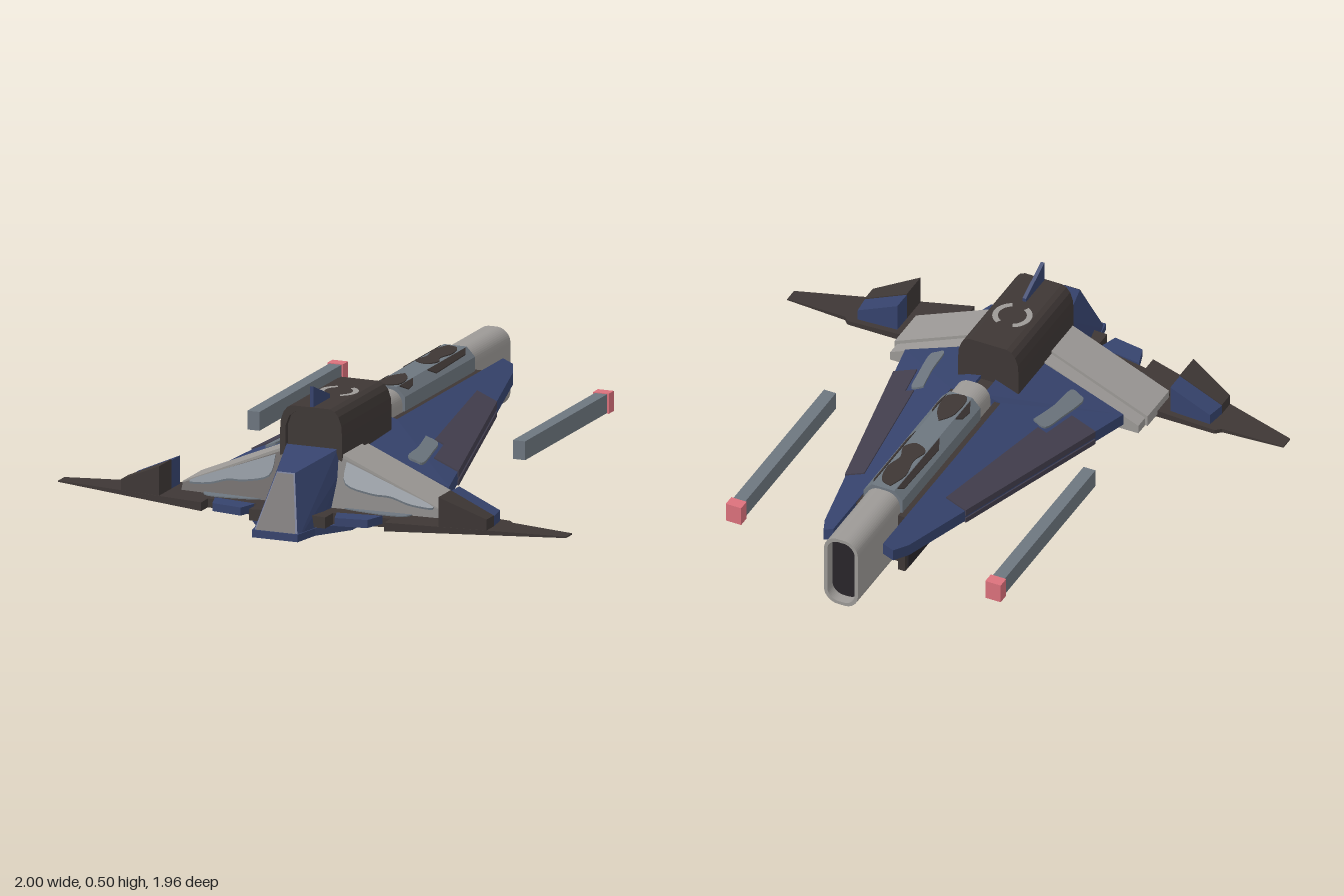
import * as THREE from 'three';
import { ConvexGeometry } from 'three/addons/geometries/ConvexGeometry.js';

const mat = (name, color) => {
  const m = new THREE.MeshStandardMaterial({ color });
  m.name = name;
  return m;
};

export function createModel() {
  const model = new THREE.Group();
  model.name = 'starfighter';
  const dark = mat('dark brown', 0x3e3735);
  const blue = mat('hull blue', 0x36436d);
  const grey = mat('light grey', 0x9c9996);
  const slate = mat('slate grey', 0x6d767f);
  const panel = mat('dusk panel', 0x433f4e);
  const red = mat('signal red', 0xdb717c);
  const black = mat('recess black', 0x28252a);

  const add = (name, geo, material) => {
    const m = new THREE.Mesh(geo, material);
    m.name = name;
    model.add(m);
    return m;
  };
  const box = (name, material, x0, x1, y0, y1, z0, z1) => {
    const m = add(name, new THREE.BoxGeometry(x1 - x0, y1 - y0, z1 - z0), material);
    m.position.set((x0 + x1) / 2, (y0 + y1) / 2, (z0 + z1) / 2);
  };
  const polygon = (pts) => new THREE.Shape(pts.map(([a, b]) => new THREE.Vector2(a, b)));
  const smooth = (pts) => {
    const c = new THREE.SplineCurve([...pts, pts[0]].map(([a, b]) => new THREE.Vector2(a, b)));
    return c.getPoints(pts.length * 4).slice(0, -1).map((p) => [p.x, p.y]);
  };
  const flip = (pts) => pts.map(([a, b]) => [-a, b]);
  const mirrored = (pts) => [...pts, ...flip(pts).reverse()];

  // Plan outline [x, z] whose top and bottom heights follow rules of |x| and z
  const slab = (name, material, pts, top, bottom) => {
    const geo = new THREE.ExtrudeGeometry(polygon(pts.map(([x, z]) => [x, -z])), { depth: 1, bevelEnabled: false });
    geo.rotateX(-Math.PI / 2);
    const p = geo.attributes.position;
    for (let i = 0; i < p.count; i++) {
      const rule = p.getY(i) > 0.5 ? top : bottom;
      p.setY(i, rule(Math.abs(p.getX(i)), p.getZ(i)));
    }
    geo.computeVertexNormals();
    return add(name, geo, material);
  };
  // Front outline [x, y] extruded along z
  const extrude = (name, material, shape, z0, z1) => {
    const geo = new THREE.ExtrudeGeometry(shape, { depth: z1 - z0, bevelEnabled: false, curveSegments: 6 });
    geo.translate(0, 0, z0);
    return add(name, geo, material);
  };
  const slabs = (name, m, pts, top, bottom) => {
    slab(name + 'Left', m, pts, top, bottom);
    slab(name + 'Right', m, flip(pts), top, bottom);
  };
  const extrudes = (name, m, pts, z0, z1) => {
    extrude(name + 'Left', m, polygon(pts), z0, z1);
    extrude(name + 'Right', m, polygon(flip(pts)), z0, z1);
  };

  // Engine barrel: rounded tube with an open tail
  const rounded = (w, y0, y1, r) => {
    const s = new THREE.Shape();
    s.moveTo(-w + r, y0).lineTo(w - r, y0);
    s.absarc(w - r, y0 + r, r, -Math.PI / 2, 0);
    s.absarc(w - r, y1 - r, r, 0, Math.PI / 2);
    s.absarc(-w + r, y1 - r, r, Math.PI / 2, Math.PI);
    s.absarc(-w + r, y0 + r, r, Math.PI, Math.PI * 1.5);
    return s;
  };
  extrude('engineBarrel', grey, rounded(0.068, 0.04, 0.33, 0.055), -0.93, 0.09);
  const tail = rounded(0.068, 0.04, 0.33, 0.055);
  tail.holes.push(rounded(0.055, 0.053, 0.317, 0.045));
  extrude('engineTail', grey, tail, -0.98, -0.93);
  extrude('engineOpening', black, rounded(0.055, 0.053, 0.317, 0.045), -0.938, -0.925);

  // Camouflaged sleeve over the barrel
  extrude('barrelSleeve', slate, polygon(mirrored([[0.078, 0.2], [0.078, 0.305], [0.045, 0.34]])), -0.64, -0.01);
  const sleeveTop = (x) => (x > 0.045 ? 0.34 - (x - 0.045) * 1.06 : 0.34) + 0.004;
  const sleeveUnder = (x) => sleeveTop(x) - 0.007;
  slab('sleevePatchRear', dark, smooth([[-0.02, -0.62], [0.025, -0.6], [0.042, -0.52], [0.026, -0.45], [0.043, -0.39],
    [0.01, -0.35], [-0.042, -0.38], [-0.028, -0.45], [-0.042, -0.54]]), sleeveTop, sleeveUnder);
  slab('sleevePatchFront', dark, smooth([[0, -0.19], [0.035, -0.13], [0.04, -0.04], [-0.03, -0.02], [-0.035, -0.13]]),
    sleeveTop, sleeveUnder);
  for (const [a, b] of [[-0.62, -0.28], [-0.15, -0.03]]) {
    slabs('sleeveEdgePatch', dark, [[0.048, a], [0.062, a + 0.03], [0.066, b - 0.04], [0.048, b]], sleeveTop, sleeveUnder);
  }

  // Central hull, keel strips, rear frame and neck
  box('hull', blue, -0.104, 0.104, 0.06, 0.24, -0.635, 0.42);
  box('keel', dark, -0.06, 0.06, 0.03, 0.1, -0.64, 0.42);
  for (const s of [-1, 1]) {
    box('keelStrip', black, s * 0.084 - 0.022, s * 0.084 + 0.022, 0.02, 0.085, -0.645, 0.42);
    box('rearFrame', dark, s * 0.085 - 0.014, s * 0.085 + 0.014, 0.01, 0.252, -0.66, -0.62);
    box('sleeveRail', dark, s * 0.088 - 0.014, s * 0.088 + 0.014, 0.2, 0.252, -0.64, 0.11);
  }
  box('neck', dark, -0.03, 0.03, 0.1, 0.255, 0.1, 0.25);

  // Thin sloping delta wings with panels on both sides and camouflage
  const wingTop = (x) => Math.min(0.27, 0.297 - 0.425 * x);
  const above = (d) => (x) => wingTop(x) + d;
  slabs('deltaWing', blue, [[0.1, -0.84], [0.14, -0.84], [0.17, -0.77], [0.44, 0.42], [0.03, 0.42], [0.03, 0.11],
    [0.1, 0.11]], wingTop, above(-0.045));
  const panelOutline = [[0.165, -0.46], [0.244, -0.46], [0.408, 0.26], [0.312, 0.26], [0.285, 0.11], [0.25, 0.11]];
  slabs('wingPanel', panel, panelOutline, above(0.006), above(-0.02));
  slabs('wingUnderPanel', panel, panelOutline, above(-0.03), above(-0.05));
  slabs('wingPatch', slate, smooth([[0.222, 0.13], [0.27, 0.13], [0.29, 0.22], [0.31, 0.35], [0.29, 0.37], [0.255, 0.365],
    [0.245, 0.25]]), above(0.008), above(-0.001));

  // Light shoulder bands with a dark camouflaged slope in front
  extrudes('shoulderBand', grey, [[0.1, 0.262], [0.51, 0.088], [0.51, 0.045], [0.1, 0.045]], 0.475, 0.648);
  extrudes('shoulderStep', grey, [[0.1, 0.25], [0.5, 0.078], [0.5, 0.045], [0.1, 0.045]], 0.42, 0.475);
  const slope = (d) => (x, z) => 0.25 - 0.407 * (x - 0.1) - 1.84 * (z - 0.648) + d;
  slabs('shoulderSlope', dark, [[0.1, 0.646], [0.508, 0.646], [0.508, 0.664], [0.1, 0.755]], slope(0), () => 0.045);
  slabs('shoulderPatch', slate, smooth([[0.14, 0.654], [0.3, 0.652], [0.48, 0.651], [0.4, 0.667], [0.32, 0.672],
    [0.25, 0.684], [0.15, 0.69]]), slope(0.007), slope(-0.003));

  // Forward wings
  const foreTop = (x) => 0.081 - 0.043 * x;
  slabs('foreWing', dark, [[0, 0.5], [0.51, 0.555], [0.74, 0.555], [0.76, 0.575], [1, 0.59], [1, 0.645], [0.36, 0.82],
    [0.36, 0.76], [0.15, 0.8], [0.15, 0.87], [0, 0.87]], foreTop, () => 0.033);
  const forePatch = smooth([[0.14, 0.66], [0.27, 0.65], [0.4, 0.66], [0.39, 0.715], [0.3, 0.735], [0.15, 0.725]]);
  slabs('foreWingPatch', slate, forePatch, (x) => foreTop(x) + 0.004, (x) => foreTop(x) - 0.004);
  slabs('foreWingUnderPatch', slate, smooth([[0.25, 0.6], [0.4, 0.62], [0.45, 0.68], [0.36, 0.72], [0.24, 0.69]]),
    () => 0.036, () => 0.03);

  // Wedge fins and small canards
  const finTop = (x) => 0.167 - 0.45 * (x - 0.55);
  slabs('finFront', dark, [[0.55, 0.655], [0.72, 0.655], [0.72, 0.72], [0.55, 0.766]], finTop, () => 0.05);
  slabs('finRear', blue, [[0.55, 0.578], [0.71, 0.578], [0.72, 0.655], [0.55, 0.655]], (x) => finTop(x) - 0.004, () => 0.05);
  slabs('canard', blue, [[0.16, 0.79], [0.33, 0.765], [0.305, 0.845], [0.185, 0.865]], () => 0.075, () => 0.045);
  slabs('canardMount', dark, [[0.2, 0.7], [0.28, 0.7], [0.28, 0.8], [0.2, 0.8]], () => 0.068, () => 0.04);

  // Cabin with recessed front arch, top emblem ring and fin
  const cabin = [[0.122, 0.08], [0.122, 0.32], [0.119, 0.36], [0.108, 0.392], [0.093, 0.41], [0.074, 0.418]];
  extrude('cabin', dark, polygon(mirrored(cabin)), 0.21, 0.635);
  const arch = polygon(mirrored(cabin));
  arch.holes.push(polygon(mirrored([[0.1, 0.2], [0.1, 0.34], [0.086, 0.378], [0.06, 0.397]])));
  extrude('cabinArch', dark, arch, 0.635, 0.655);
  for (const start of [-1.1, Math.PI - 1.1]) {
    const ring = new THREE.RingGeometry(0.052, 0.073, 14, 1, start, 2.2).rotateX(-Math.PI / 2);
    add('cabinRing', ring, grey).position.set(0, 0.42, 0.405);
  }
  const fin = new THREE.ExtrudeGeometry(polygon([[-0.65, 0.41], [-0.5, 0.41], [-0.5, 0.432], [-0.65, 0.495]]),
    { depth: 0.014, bevelEnabled: false });
  fin.rotateY(Math.PI / 2).translate(-0.007, 0, 0);
  add('topFin', fin, blue);

  // Nose, its dark front face and the belly plate
  const nose = [[0.09, 0.006, 0.98], [0.035, 0.23, 0.88], [0.1, 0.27, 0.645], [0.12, 0.2, 0.645], [0.125, 0.006, 0.645],
    [0.11, 0.006, 0.87]];
  add('nose', new ConvexGeometry(nose.flatMap(([x, y, z]) => [new THREE.Vector3(x, y, z), new THREE.Vector3(-x, y, z)])), blue);
  slab('noseFace', dark, [[-0.032, 0.886], [0.032, 0.886], [0.08, 0.978], [-0.08, 0.978]],
    (x, z) => (0.98 - z) * 2.25 + 0.015, (x, z) => (0.98 - z) * 2.25 + 0.005);
  slab('bellyPlate', blue, mirrored([[0.09, 0.98], [0.11, 0.87], [0.2, 0.74], [0.2, 0.56], [0.1, 0.34]]),
    () => 0.03, () => 0.002);
  const bellyRing = new THREE.RingGeometry(0.088, 0.14, 32).rotateX(Math.PI / 2);
  add('bellyRing', bellyRing, slate).position.set(0, 0, 0.56);

  // Detached side bars with red ends
  for (const s of [-1, 1]) {
    box('sideBar', slate, s * 0.523 - 0.024, s * 0.523 + 0.024, 0.117, 0.187, -0.76, -0.02);
    box('sideBarEnd', red, s * 0.523 - 0.031, s * 0.523 + 0.031, 0.115, 0.19, -0.8, -0.755);
  }
  return model;
}
